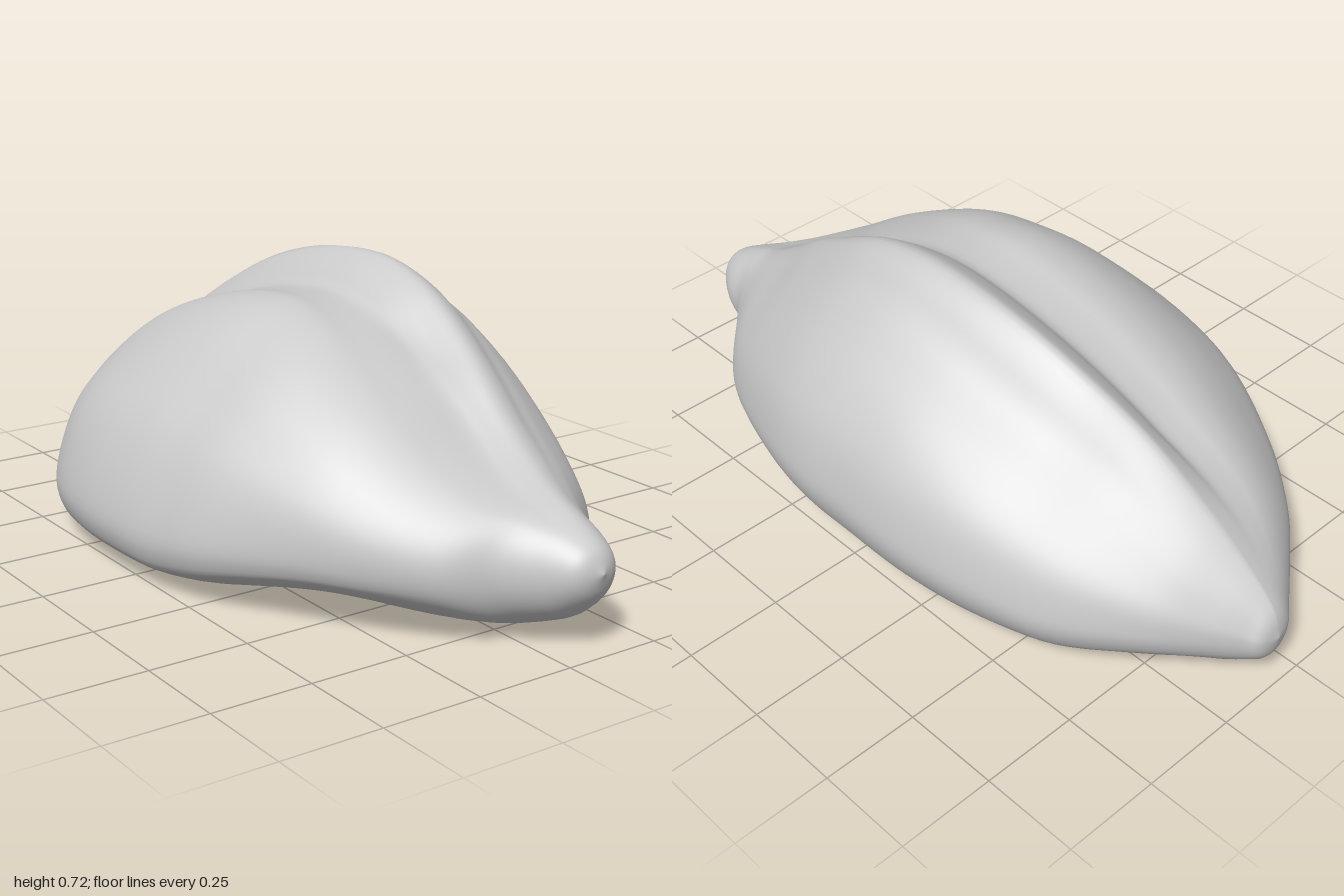
import * as THREE from 'three';

// Widest cross-section, clockwise from the base: left lobe, shallow notch, ridge, right lobe
const PROFILE = [
  [-0.2, 0.002], [-0.4, 0.008], [-0.51, 0.045], [-0.545, 0.09], [-0.55, 0.16], [-0.515, 0.28],
  [-0.46, 0.39], [-0.38, 0.485], [-0.29, 0.57], [-0.19, 0.632], [-0.1, 0.655], [-0.02, 0.648],
  [0.06, 0.65], [0.11, 0.69], [0.18, 0.73], [0.235, 0.71], [0.288, 0.658], [0.352, 0.604],
  [0.45, 0.495], [0.52, 0.375], [0.55, 0.25], [0.55, 0.17], [0.52, 0.095], [0.475, 0.045],
  [0.4, 0.01], [0.2, 0.002], [0, 0.002],
];
// Stations along the length: z, min x, max x, base y, top y, ridge x
const STATIONS = [
  [-1, 0.085, 0.085, 0.16, 0.16, 0.085],
  [-0.985, 0.035, 0.135, 0.1, 0.215, 0.085],
  [-0.95, -0.01, 0.165, 0.068, 0.26, 0.085],
  [-0.88, -0.1, 0.23, 0.04, 0.325, 0.09],
  [-0.77, -0.235, 0.33, 0.022, 0.415, 0.1],
  [-0.6, -0.39, 0.44, 0.01, 0.535, 0.12],
  [-0.4, -0.5, 0.515, 0.007, 0.648, 0.16],
  [-0.2, -0.545, 0.548, 0.006, 0.71, 0.18],
  [0, -0.55, 0.55, 0.006, 0.73, 0.185],
  [0.15, -0.535, 0.545, 0.006, 0.712, 0.18],
  [0.3, -0.505, 0.515, 0.006, 0.66, 0.165],
  [0.5, -0.41, 0.445, 0.006, 0.545, 0.135],
  [0.65, -0.315, 0.37, 0.01, 0.435, 0.115],
  [0.78, -0.2, 0.26, 0.025, 0.35, 0.1],
  [0.85, -0.09, 0.205, 0.045, 0.318, 0.095],
  [0.92, -0.015, 0.182, 0.08, 0.285, 0.09],
  [0.975, 0.03, 0.145, 0.135, 0.25, 0.09],
  [1, 0.088, 0.088, 0.2, 0.2, 0.088],
];
const AROUND = 108, ALONG = 102, RIDGE = 0.18, HALF = 0.55, TOP = 0.73;
const { lerp, smoothstep } = THREE.MathUtils;

const smoothCurve = (points, closed) => new THREE.CatmullRomCurve3(points, closed, 'catmullrom', 0.5);

function bodyGeometry() {
  const section = smoothCurve(PROFILE.map(([x, y]) => new THREE.Vector3(x, y, 0)), true).getPoints(AROUND);
  const widths = smoothCurve(STATIONS.map(s => new THREE.Vector3(s[0], s[1], s[2])), false);
  const heights = smoothCurve(STATIONS.map(s => new THREE.Vector3(s[3], s[4], s[5])), false);
  const positions = [], indices = [];

  for (let i = 0; i <= ALONG; i++) {
    const { x: z, y: left, z: right } = widths.getPoint(i / ALONG);
    const { x: base, y: top, z: ridge } = heights.getPoint(i / ALONG);
    // The section rounds to an oval at both tips, earlier on the plump front of the -x lobe
    const tipRound = smoothstep(Math.abs(z), 0.55, 1);
    const lobeRound = Math.max(tipRound, smoothstep(z, 0.05, 0.85));
    // Both lobes sag a little towards the back
    const sag = smoothstep(-z, -0.1, 0.4);
    for (let j = 0; j < AROUND; j++) {
      const p = section[j];
      const u = p.x < RIDGE ? (p.x - RIDGE) / (HALF + RIDGE) : (p.x - RIDGE) / (HALF - RIDGE);
      const v = p.y / TOP;
      const angle = Math.atan2(v - 0.42, u);
      const round = lerp(lobeRound, tipRound, smoothstep(u, -0.4, 0));
      const across = lerp(u, Math.cos(angle), round);
      const bulge = 4 * Math.abs(u) * (1 - Math.abs(u)) * smoothstep(v, 0.35, 0.8);
      const up = lerp(v, 0.5 + 0.5 * Math.sin(angle), round) - sag * bulge * (u < 0 ? 0.04 : 0.07);
      const x = ridge + across * (across < 0 ? ridge - left : right - ridge);
      let y = base + up * (top - base);
      // Small dent beside the ridge where the fold tucks in
      if (v > 0.6) y -= 0.025 * Math.exp(-(((x - 0.1) / 0.05) ** 2) - ((z - 0.36) / 0.12) ** 2);
      positions.push(x, y, z);

      if (i < ALONG) {
        const a = i * AROUND + j, b = i * AROUND + (j + 1) % AROUND;
        const c = a + AROUND, d = b + AROUND;
        // The end rings are single points, so each needs one triangle per side
        if (i < ALONG - 1) indices.push(b, c, d);
        if (i > 0) indices.push(a, c, b);
      }
    }
  }
  const geometry = new THREE.BufferGeometry();
  geometry.setAttribute('position', new THREE.Float32BufferAttribute(positions, 3));
  geometry.setIndex(indices);
  geometry.computeVertexNormals();
  return geometry;
}

export function createModel() {
  const model = new THREE.Group();
  model.name = 'foldedBun';
  const body = new THREE.Mesh(bodyGeometry(), new THREE.MeshStandardMaterial({ color: 0xcccccc }));
  body.name = 'body';
  model.add(body);
  return model;
}
